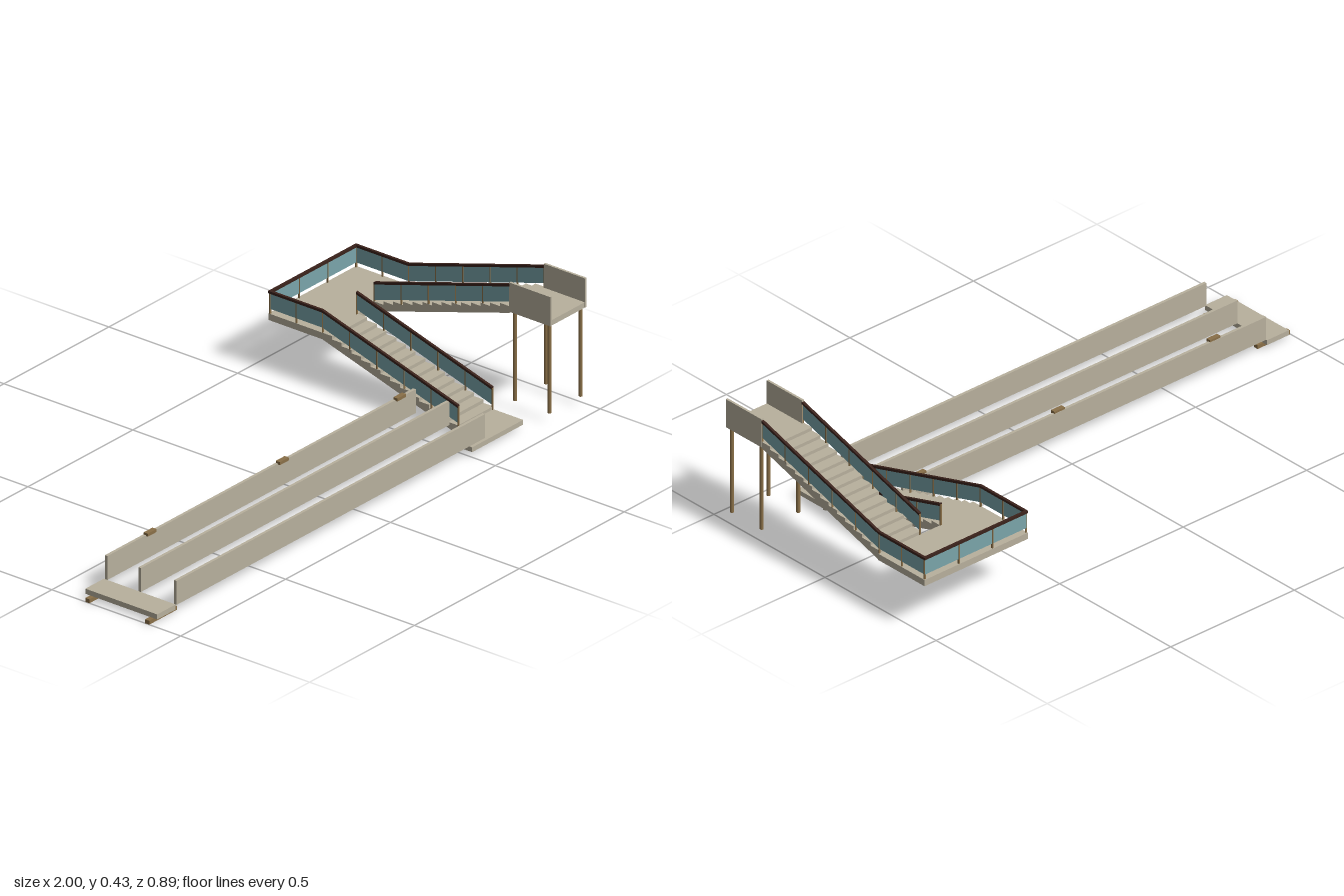
import * as THREE from 'three';

const mat = (name, color) => Object.assign(new THREE.MeshStandardMaterial({ color }), { name });

export function createModel() {
  const model = new THREE.Group();
  model.name = 'stairsAndChannel';
  const concrete = mat('concrete', 0xb8b09d);
  const glass = mat('glass', 0x7aa5aa);
  const wood = mat('bronze brown', 0x8a7048);
  const dark = mat('dark handrail', 0x3a221b);

  const add = (name, geo, material, parent = model) => {
    const mesh = new THREE.Mesh(geo, material);
    mesh.name = name;
    parent.add(mesh);
    return mesh;
  };
  // box given by its minimum and maximum on each axis
  const box = (name, material, [x0, x1], [y0, y1], [z0, z1], parent) => {
    const geo = new THREE.BoxGeometry(x1 - x0, y1 - y0, z1 - z0);
    geo.translate((x0 + x1) / 2, (y0 + y1) / 2, (z0 + z1) / 2);
    return add(name, geo, material, parent);
  };
  // side profile of [z, y] points, extruded across x
  const profile = (name, material, points, x0, x1, parent) => {
    const shape = new THREE.Shape(points.map(([z, y]) => new THREE.Vector2(z, y)));
    const geo = new THREE.ExtrudeGeometry(shape, { depth: x1 - x0, bevelEnabled: false });
    geo.rotateY(-Math.PI / 2).translate(x1, 0, 0);
    return add(name, geo, material, parent);
  };

  // three long parallel walls, with small caps on the rear one
  for (const z of [0.121, 0.251, 0.39]) {
    box('longWall', concrete, [-0.89, 0.58], [0.03, 0.11], [z - 0.005, z + 0.005]);
  }
  for (const x of [-0.685, -0.055, 0.505]) {
    box('wallCap', wood, [x - 0.021, x + 0.021], [0.107, 0.117], [0.117, 0.133]);
  }

  // end slab on two bearers, and the slab at the stair foot
  box('endSlab', concrete, [-0.978, -0.89], [0.013, 0.03], [0.112, 0.391]);
  for (const z of [0.138, 0.37]) {
    box('bearer', wood, [-1, -0.868], [0, 0.013], [z - 0.008, z + 0.008]);
  }
  box('footSlab', concrete, [0.505, 0.748], [0.014, 0.03], [0.288, 0.406]);

  // two flights of steps, both with a sloping flat underside
  const zFoot = 0.29, zTurn = -0.237, steps = 14;
  const flight = (name, x0, x1, yFoot, yTurn, bottomFoot) => {
    const points = [[zTurn, 0.165], [zFoot, bottomFoot]];
    const run = (zTurn - zFoot) / steps;
    const rise = (yTurn - yFoot) / steps;
    for (let i = 0; i < steps; i++) {
      const y = yFoot + rise * (i + (rise > 0 ? 1 : 0));
      points.push([zFoot + run * i, y], [zFoot + run * (i + 1), y]);
    }
    profile(name, concrete, points, x0, x1);
  };
  flight('lowerStairs', 0.58, 0.748, 0.028, 0.187, 0.008);
  flight('upperStairs', 0.826, 0.996, 0.345, 0.187, 0.323);

  // turning landing
  box('turnLanding', concrete, [0.58, 0.998], [0.165, 0.187], [-0.446, zTurn]);

  // top landing with two solid parapets on four round legs
  box('topLanding', concrete, [0.826, 0.996], [0.327, 0.345], [0.29, 0.448]);
  for (const x of [0.825, 0.99]) {
    box('parapet', concrete, [x, x + 0.008], [0.327, 0.425], [0.289, 0.449]);
  }
  for (const x of [0.836, 0.984]) {
    for (const z of [0.303, 0.437]) {
      const geo = new THREE.CylinderGeometry(0.0062, 0.0062, 0.3, 14);
      add('leg', geo.translate(x, 0.18, z), wood);
    }
  }

  // glazed balustrade running in z; ya and yb are handrail tops at za and zb
  const railing = (name, x, za, zb, ya, yb, bays, firstPost = 0) => {
    const group = new THREE.Group();
    group.name = name;
    model.add(group);
    const band = (part, material, top, bottom, w) => profile(part, material,
      [[zb, yb - bottom], [za, ya - bottom], [za, ya - top], [zb, yb - top]],
      x - w / 2, x + w / 2, group);
    band('handrail', dark, 0, 0.008, 0.009);
    band('glassPanel', glass, 0.008, 0.06, 0.003);
    for (let i = firstPost; i <= bays; i++) {
      const t = i / bays;
      const z = za + (zb - za) * t;
      const y = ya + (yb - ya) * t;
      box('railPost', wood, [x - 0.003, x + 0.003], [y - 0.076, y - 0.004],
        [z - 0.0017, z + 0.0017], group);
    }
  };
  for (const x of [0.583, 0.745]) {
    railing('lowerRailing', x, zFoot, zTurn, 0.106, 0.263, 5);
  }
  for (const x of [0.829, 0.993]) {
    railing('upperRailing', x, zFoot, zTurn, 0.42, 0.263, 5);
  }
  for (const x of [0.583, 0.993]) {
    railing('landingRailing', x, zTurn, -0.441, 0.263, 0.263, 2, 1);
  }

  // railing along the rear of the landing
  box('rearHandrail', dark, [0.579, 0.997], [0.255, 0.263], [-0.446, -0.437]);
  box('rearGlass', glass, [0.583, 0.993], [0.203, 0.255], [-0.443, -0.44]);
  for (const x of [0.72, 0.856]) {
    box('rearPost', wood, [x - 0.0017, x + 0.0017], [0.187, 0.257], [-0.4445, -0.4385]);
  }

  return model;
}
